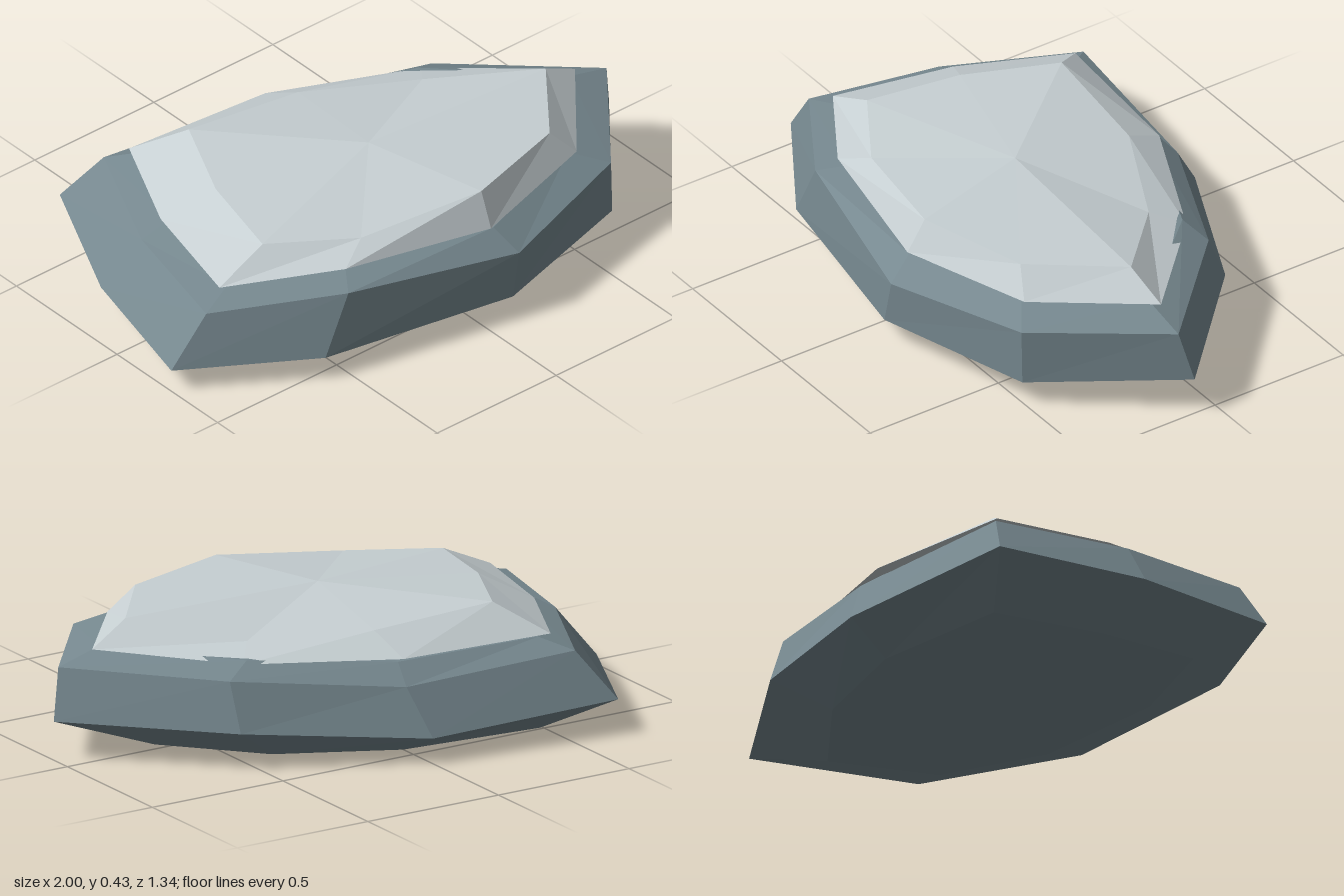
import * as THREE from 'three';

// Rings run from the +x tip towards +z and on around; each corner is [x, y, z].
const base = [[0.64, 0, 0.04], [0.43, 0, 0.35], [0.06, 0, 0.45], [-0.42, 0, 0.38], [-0.76, 0, 0.19],
  [-0.66, 0, -0.14], [-0.49, 0, -0.49], [0, 0, -0.44], [0.38, 0, -0.25]];
const waist = [[1, 0.13, 0.08], [0.65, 0.09, 0.51], [0.1, 0.086, 0.667], [-0.58, 0.085, 0.54], [-1, 0.08, 0.27],
  [-0.89, 0.1, -0.21], [-0.67, 0.115, -0.675], [0, 0.085, -0.615], [0.56, 0.125, -0.345]];
const shoulder = [[0.96, 0.297, 0.115], [0.645, 0.28, 0.51], [0.13, 0.24, 0.662], [-0.48, 0.29, 0.535], [-0.87, 0.255, 0.29],
  [-0.77, 0.265, -0.15], [-0.57, 0.27, -0.575], [0.04, 0.24, -0.52], [0.56, 0.285, -0.28]];
const crown = [[0.8, 0.34, 0.12], [0.53, 0.33, 0.43], [0.1, 0.305, 0.57], [-0.42, 0.31, 0.45], [-0.74, 0.28, 0.24],
  [-0.66, 0.3, -0.14], [-0.49, 0.305, -0.48], [0.02, 0.3, -0.44], [0.47, 0.33, -0.24]];
const capRim = [[0.84, 0.34, 0.1], [0.56, 0.325, 0.44], [0.09, 0.305, 0.57], [-0.44, 0.335, 0.475], [-0.785, 0.3, 0.255],
  [-0.69, 0.31, -0.15], [-0.52, 0.318, -0.508], [0.015, 0.315, -0.465], [0.485, 0.32, -0.245]];
const capTop = [[0.7, 0.415, 0.12], [0.48, 0.412, 0.4], [0.1, 0.415, 0.51], [-0.33, 0.378, 0.42], [-0.6, 0.385, 0.25],
  [-0.53, 0.4, -0.065], [-0.39, 0.41, -0.365], [0.04, 0.38, -0.33], [0.41, 0.36, -0.15]];

// Joins stacked rings with triangles and closes both ends with a fan
function facetedStack(rings, bottomCentre, topCentre) {
  const points = [];
  const n = rings[0].length;
  const add = (...corners) => corners.forEach((c) => points.push(...c));
  for (let i = 0; i < n; i++) {
    const j = (i + 1) % n;
    add(bottomCentre, rings[0][i], rings[0][j]);
    for (let r = 0; r < rings.length - 1; r++) {
      const low = rings[r], up = rings[r + 1];
      add(low[i], up[i], low[j]);
      add(low[j], up[i], up[j]);
    }
    const last = rings[rings.length - 1];
    add(topCentre, last[j], last[i]);
  }
  const geometry = new THREE.BufferGeometry();
  geometry.setAttribute('position', new THREE.Float32BufferAttribute(points, 3));
  geometry.computeVertexNormals();
  return geometry;
}

function material(name, color) {
  const m = new THREE.MeshStandardMaterial({ color, flatShading: true });
  m.name = name;
  return m;
}

export function createModel() {
  const model = new THREE.Group();
  model.name = 'cappedRock';

  // Stone body: flared underside, steep wall, sloping shoulder
  const body = new THREE.Mesh(
    facetedStack([base, waist, shoulder, crown], [0, 0, 0.03], [0, 0.33, 0.05]),
    material('stone', 0x76888f));
  body.name = 'rockBody';

  // Pale cap with a bevelled rim and a shallow peak
  const cap = new THREE.Mesh(
    facetedStack([capRim, capTop], [0, 0.315, 0.05], [-0.01, 0.425, 0.08]),
    material('paleCap', 0xc6cfd2));
  cap.name = 'rockCap';

  model.add(body, cap);
  return model;
}
